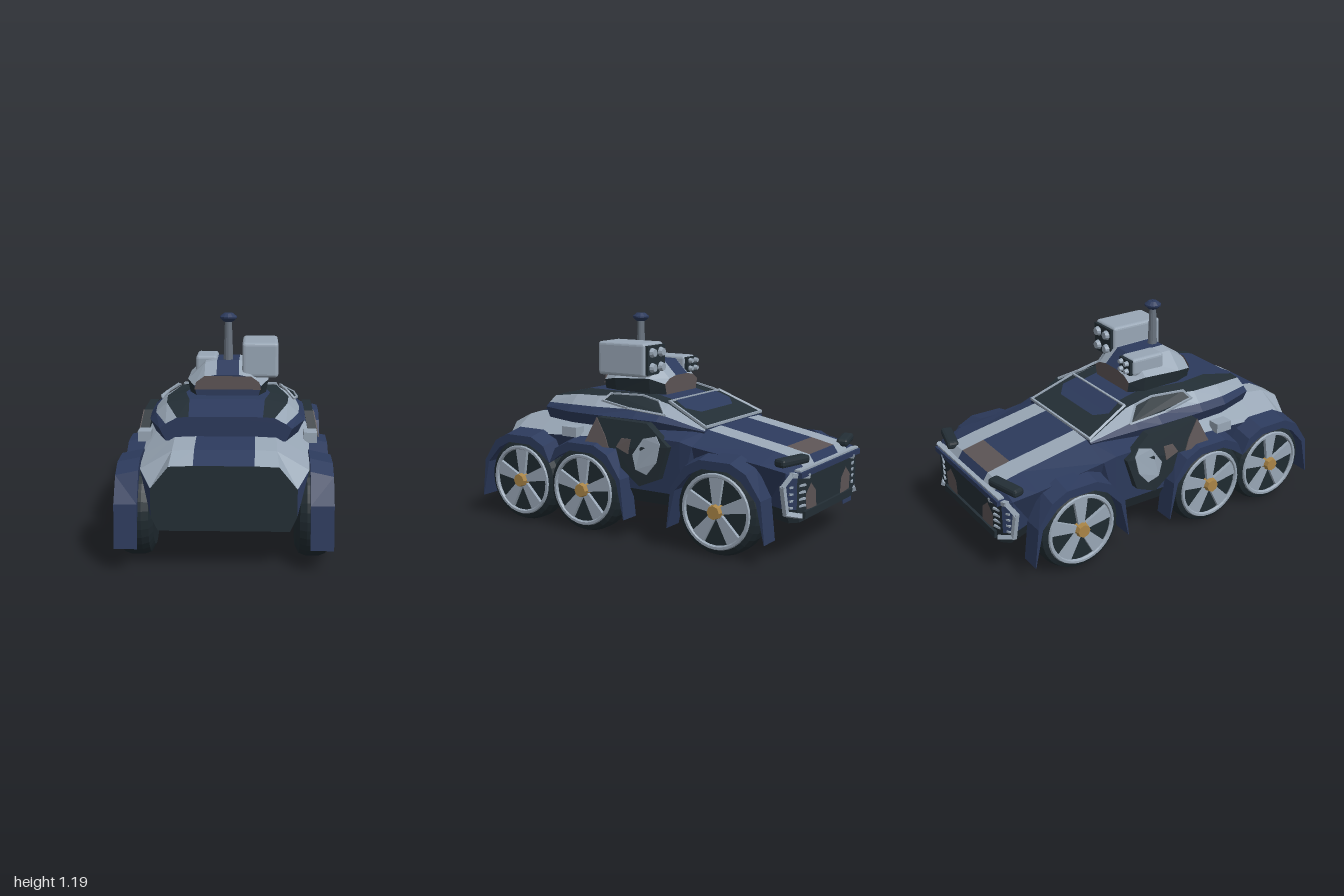
import * as THREE from 'three';
import { RoundedBoxGeometry } from 'three/addons/geometries/RoundedBoxGeometry.js';

const V = (x, y, z) => new THREE.Vector3(x, y, z);

export function createModel() {
  const root = new THREE.Group();
  root.name = 'armouredCar';
  const paint = (name, color) => new THREE.MeshStandardMaterial({ name, color, flatShading: true, side: THREE.DoubleSide });
  const blue = paint('navyBlue', 0x2c3a5c), grey = paint('lightGrey', 0x98a6b5), dark = paint('darkSlate', 0x232e35);
  const tyreMat = paint('tyreBlack', 0x1f2a30), brown = paint('brown', 0x5c5455), gold = paint('gold', 0xa98446);
  const steel = paint('steel', 0x68727e), belly = paint('bellyNavy', 0x22263f);

  const add = (name, geo, mat, parent = root) => {
    const m = new THREE.Mesh(geo, mat);
    m.name = name;
    parent.add(m);
    return m;
  };
  const triangles = (list) => {
    const g = new THREE.BufferGeometry().setFromPoints(list);
    g.computeVertexNormals();
    return g;
  };
  const mirrored = (geo) => {
    const g = geo.index ? geo.toNonIndexed() : geo;
    const p = g.attributes.position, list = [];
    for (let i = 0; i < p.count; i += 3)
      for (const k of [0, 2, 1]) list.push(V(-p.getX(i + k), p.getY(i + k), p.getZ(i + k)));
    return triangles(list);
  };
  const addPair = (name, geo, mat) => {
    add(name + 'Left', geo, mat);
    add(name + 'Right', mirrored(geo), mat);
  };
  // Flat polygon from 3D corners
  const plate = (pts) => {
    const list = [];
    for (let i = 1; i < pts.length - 1; i++) list.push(V(...pts[0]), V(...pts[i]), V(...pts[i + 1]));
    return triangles(list);
  };
  // Square rod between two points
  const rod = (a, b, w) => {
    const s = V(...a), e = V(...b), d = e.clone().sub(s);
    const g = new THREE.BoxGeometry(w, w, d.length() + w * 0.6);
    g.applyQuaternion(new THREE.Quaternion().setFromUnitVectors(V(0, 0, 1), d.normalize()));
    return g.translate(...s.add(e).multiplyScalar(0.5).toArray());
  };
  const box = (x, y, z, w, h, d) => new THREE.BoxGeometry(w, h, d).translate(x, y, z);
  const lathe = (pts, sides) => new THREE.LatheGeometry(pts.map((p) => new THREE.Vector2(...p)), sides);
  // Side outline of (z, y) points, extruded from x0 to x1
  const sideSolid = (pts, x0, x1) => new THREE.ExtrudeGeometry(
    new THREE.Shape(pts.map((p) => new THREE.Vector2(...p))), { depth: x1 - x0, bevelEnabled: false })
    .rotateY(-Math.PI / 2).translate(x1, 0, 0);
  // Mirrored skin through half profiles that are closed on the centre line; one mesh per colour
  const loft = (name, rows, profile, matOf, frontMat, rearMat) => {
    const bins = new Map();
    const flip = (p) => V(-p.x, p.y, p.z);
    const tri = (mat, a, b, c) => {
      if (!bins.has(mat)) bins.set(mat, []);
      bins.get(mat).push(a, b, c, flip(a), flip(c), flip(b));
    };
    const s = rows.map(([z, ...row]) => {
      const pts = profile(...row);
      return [[0, pts[0][1]], ...pts, [0, pts.at(-1)[1]]].map(([x, y]) => V(x, y, z));
    });
    for (let i = 0; i < s.length - 1; i++)
      for (let j = 0; j < s[i].length - 1; j++) {
        const m = matOf(j, i);
        tri(m, s[i][j], s[i + 1][j], s[i + 1][j + 1]);
        tri(m, s[i][j], s[i + 1][j + 1], s[i][j + 1]);
      }
    const f = s[0], r = s.at(-1);
    for (let j = 1; j < f.length - 1; j++) {
      tri(frontMat, f[0], f[j], f[j + 1]);
      tri(rearMat, r[0], r[j + 1], r[j]);
    }
    for (const [mat, list] of bins) add(name + '_' + mat.name, triangles(list), mat);
  };

  // Hull: z, top height, stripe edge, shoulder x and y, sill x; widest between the wheels
  loft('hull', [
    [-0.97, 0.46, 0.27, 0.37, 0.44, 0.37],
    [-0.93, 0.52, 0.28, 0.42, 0.47, 0.41],
    [-0.8, 0.548, 0.28, 0.45, 0.5, 0.36],
    [-0.4, 0.62, 0.28, 0.45, 0.55, 0.36],
    [-0.33, 0.625, 0.3, 0.46, 0.57, 0.45],
    [0, 0.63, 0.34, 0.47, 0.58, 0.45],
    [0.06, 0.63, 0.34, 0.45, 0.55, 0.37],
    [0.66, 0.615, 0.26, 0.43, 0.51, 0.37],
    [0.86, 0.59, 0.26, 0.42, 0.49, 0.37],
    [0.965, 0.535, 0.27, 0.36, 0.42, 0.36],
  ], (top, edge, sx, sy, sill) => [[0.15, top], [edge, top - 0.005], [sx, sy], [sill, 0.28], [sill - 0.035, 0.205]],
  (j, i) => {
    if (j === 0) return i === 1 ? brown : blue;
    if (j === 1) return grey;
    if (j === 2) return i > 5 ? grey : blue;
    if (j === 3) return blue;
    return j === 4 || i > 5 ? dark : belly;
  }, dark, dark);

  // Cabin: z, top height, stripe edge, roof edge x and y, waist x and y
  loft('cabin', [
    [-0.4, 0.625, 0.18, 0.31, 0.62, 0.325, 0.61],
    [-0.14, 0.735, 0.18, 0.27, 0.73, 0.4, 0.65],
    [0, 0.765, 0.18, 0.27, 0.76, 0.42, 0.655],
    [0.28, 0.77, 0.23, 0.33, 0.75, 0.42, 0.655],
    [0.45, 0.765, 0.2, 0.32, 0.745, 0.41, 0.655],
    [0.67, 0.715, 0.19, 0.25, 0.71, 0.34, 0.655],
  ], (top, edge, rx, ry, wx, wy) => [[edge, top], [rx, ry], [rx + (wx - rx) * 0.65, ry + (wy - ry) * 0.58],
    [wx, wy], [wx - 0.032, wy - 0.065]],
  (j) => [blue, dark, grey, blue, blue, blue][j], blue, blue);

  // Windscreen with frame
  const screen = [[-0.31, 0.633, -0.4], [0.31, 0.633, -0.4], [0.265, 0.744, -0.145], [-0.265, 0.744, -0.145]];
  add('windscreen', plate(screen), dark);
  add('windscreenReflection', plate([[-0.24, 0.711, -0.23], [-0.17, 0.687, -0.288], [0.17, 0.687, -0.288],
    [0.24, 0.711, -0.23], [0.215, 0.745, -0.152], [-0.215, 0.745, -0.152]]), blue);
  screen.forEach((p, i) => add('windscreenFrame', rod(p, screen[(i + 1) % 4], 0.013), grey));

  // Side windows
  const win = [[0.375, 0.687, -0.18], [0.292, 0.745, -0.09], [0.29, 0.768, 0.02], [0.325, 0.768, 0.21], [0.362, 0.73, 0.24], [0.385, 0.705, 0.05]];
  addPair('sideWindow', plate(win), dark);
  win.forEach((p, i) => addPair('sideWindowFrame', rod(p, win[(i + 1) % 6], 0.011), grey));

  // Doors leaning inwards at the top, with camouflage patches
  const doorPart = (name, pts, x0, x1, mat) => {
    const g = sideSolid(pts, x0, x1), p = g.attributes.position;
    for (let i = 0; i < p.count; i++) p.setX(i, p.getX(i) - Math.max(0, p.getY(i) - 0.5) * 0.2);
    g.computeVertexNormals();
    addPair(name, g, mat);
  };
  doorPart('door', [[0.27, 0.5], [0.2, 0.655], [-0.13, 0.65], [-0.28, 0.54], [-0.22, 0.36], [-0.1, 0.31], [0.02, 0.4], [0.05, 0.5]], 0.45, 0.5, dark);
  const patch = (name, pts, mat) => doorPart(name, pts, 0.498, 0.505, mat);
  patch('doorGreyPatch', [[-0.08, 0.4], [-0.06, 0.48], [-0.12, 0.57], [-0.2, 0.59], [-0.23, 0.55], [-0.21, 0.45], [-0.15, 0.38]], grey);
  patch('doorBrownPatch', [[0.27, 0.5], [0.2, 0.655], [0.13, 0.56], [0.1, 0.5]], brown);
  patch('doorSmallPatch', [[0.05, 0.51], [0.02, 0.56], [-0.04, 0.56], [-0.03, 0.48]], brown);
  addPair('sideBox', box(0.445, 0.555, 0.39, 0.07, 0.055, 0.1), grey);

  // Angular mudguards, thinning to the tips and sloping down outwards
  const arch = [[0.09, 0.285, 0.84], [0.18, 0.24, 0.84], [0.265, 0.09, 0.9], [0.29, -0.13, 0.985]];
  const mudguard = (z, cutRear, cutFront) => {
    const half = (side, cut, inside) => {
      const pts = arch.slice(0, cut ? 2 : 4).map(([u, v, k]) => [u * side * (inside ? k : 1), v * (inside ? k : 1)]);
      return cut ? [...pts, [0.223 * side, 0.15]] : pts;
    };
    const line = (inside) => [...half(-1, cutFront, inside).reverse(), ...half(1, cutRear, inside)];
    const path = [...line(false), ...line(true).reverse()];
    const g = sideSolid(path.map(([u, v]) => [u + z, v + 0.25]), 0.425, 0.54);
    const p = g.attributes.position;
    for (let i = 0; i < p.count; i++) if (p.getX(i) > 0.5 && p.getY(i) > 0.4) p.setY(i, p.getY(i) - 0.025);
    g.computeVertexNormals();
    addPair('mudguard', g, blue);
  };
  mudguard(-0.59, false, false);
  mudguard(0.265, true, false);
  mudguard(0.71, false, true);

  // Wheels, built along +x and turned round for the right side
  const tyre = lathe([[0.01, 0.355], [0.19, 0.355], [0.228, 0.375], [0.241, 0.41], [0.241, 0.475],
    [0.228, 0.51], [0.2, 0.525], [0.19, 0.505], [0.001, 0.505]], 32).rotateZ(-Math.PI / 2);
  const rim = new THREE.TorusGeometry(0.19, 0.013, 6, 32).rotateY(Math.PI / 2).translate(0.522, 0, 0);
  const spoke = sideSolid([[-0.018, 0.03], [0.018, 0.03], [0.042, 0.185], [-0.042, 0.185]], 0.5, 0.525);
  const hub = new THREE.CylinderGeometry(0.036, 0.046, 0.06, 8).rotateZ(-Math.PI / 2).translate(0.522, 0, 0);
  for (const z of [-0.59, 0.265, 0.71])
    for (const side of [1, -1]) {
      const w = new THREE.Group();
      w.name = side > 0 ? 'wheelLeft' : 'wheelRight';
      w.position.set(0, 0.248, z);
      w.rotation.y = side > 0 ? 0 : Math.PI;
      root.add(w);
      add('tyre', tyre, tyreMat, w);
      add('rim', rim, grey, w);
      add('hub', hub, gold, w);
      for (let i = 0; i < 5; i++) add('spoke', spoke, grey, w).rotation.x = (i * Math.PI * 2) / 5;
    }

  // Nose: lip, patches, lamp frames with slats, hood lamps
  add('noseLip', box(0, 0.455, -0.97, 0.74, 0.028, 0.05), blue);
  add('noseEdge', box(0, 0.474, -0.965, 0.72, 0.01, 0.035), grey);
  add('bumper', box(0, 0.235, -0.97, 0.6, 0.04, 0.03), dark);
  addPair('nosePatch', plate([[0.27, 0.26, -0.976], [0.15, 0.25, -0.976], [0.16, 0.34, -0.976], [0.22, 0.39, -0.976], [0.28, 0.34, -0.976]]), brown);
  const lamp = [[0.28, 0.44, -0.985], [0.4, 0.46, -0.955], [0.43, 0.4, -0.92], [0.41, 0.26, -0.93], [0.34, 0.24, -0.975]];
  for (let i = 0; i < 4; i++) {
    const y = 0.29 + i * 0.035;
    addPair('lampFrame', rod(lamp[i], lamp[i + 1], 0.024), grey);
    addPair('lampSlat', rod([0.3, y, -0.98], [0.4, y, -0.945], 0.011), grey);
  }
  addPair('hoodLamp', new RoundedBoxGeometry(0.21, 0.045, 0.065, 1, 0.015).rotateY(-0.25).translate(0.33, 0.517, -0.92), dark);

  // Turret: z, top height, waist x and y
  loft('turret', [[-0.05, 0.86, 0.17, 0.82], [0.03, 0.94, 0.215, 0.85], [0.26, 0.945, 0.22, 0.84], [0.36, 0.88, 0.18, 0.82]],
    (top, wx, wy) => [[0.06, top], [0.125, top - 0.013], [wx, wy], [wx - 0.015, 0.76]],
    (j) => [blue, grey, grey, dark, dark][j], brown, blue);
  add('turretRearPatch', plate([[-0.18, 0.8, 0.364], [0.18, 0.8, 0.364], [0.17, 0.84, 0.364], [0.125, 0.873, 0.364],
    [-0.125, 0.873, 0.364], [-0.17, 0.84, 0.364]]), brown);

  // Launcher pods with four tubes each
  const pod = (name, x, y, z, w, h, d, r) => {
    const front = z - d / 2;
    add(name, new RoundedBoxGeometry(w, h, d, 2, 0.018).translate(x, y, z), grey);
    add(name + 'Face', box(x, y, front - 0.006, w * 0.86, h * 0.86, 0.02), dark);
    for (const i of [-1, 1])
      for (const j of [-1, 1])
        add(name + 'Tube', new THREE.CylinderGeometry(r * 0.7, r, 0.025, 10).rotateX(-Math.PI / 2)
          .translate(x + i * w * 0.22, y + j * h * 0.22, front - 0.025), grey);
  };
  pod('largePod', 0.175, 0.955, 0.18, 0.195, 0.19, 0.32, 0.03);
  pod('smallPod', -0.122, 0.905, 0.075, 0.12, 0.1, 0.21, 0.017);

  // Mast with sensor head
  add('mast', new THREE.CylinderGeometry(0.019, 0.027, 0.23, 12).translate(0, 1.045, 0.23), steel);
  add('sensorHead', lathe([[0.001, 1.15], [0.025, 1.152], [0.047, 1.172], [0.047, 1.18], [0.025, 1.198], [0.001, 1.2]], 12)
    .translate(0, 0, 0.23), blue);

  return root;
}
